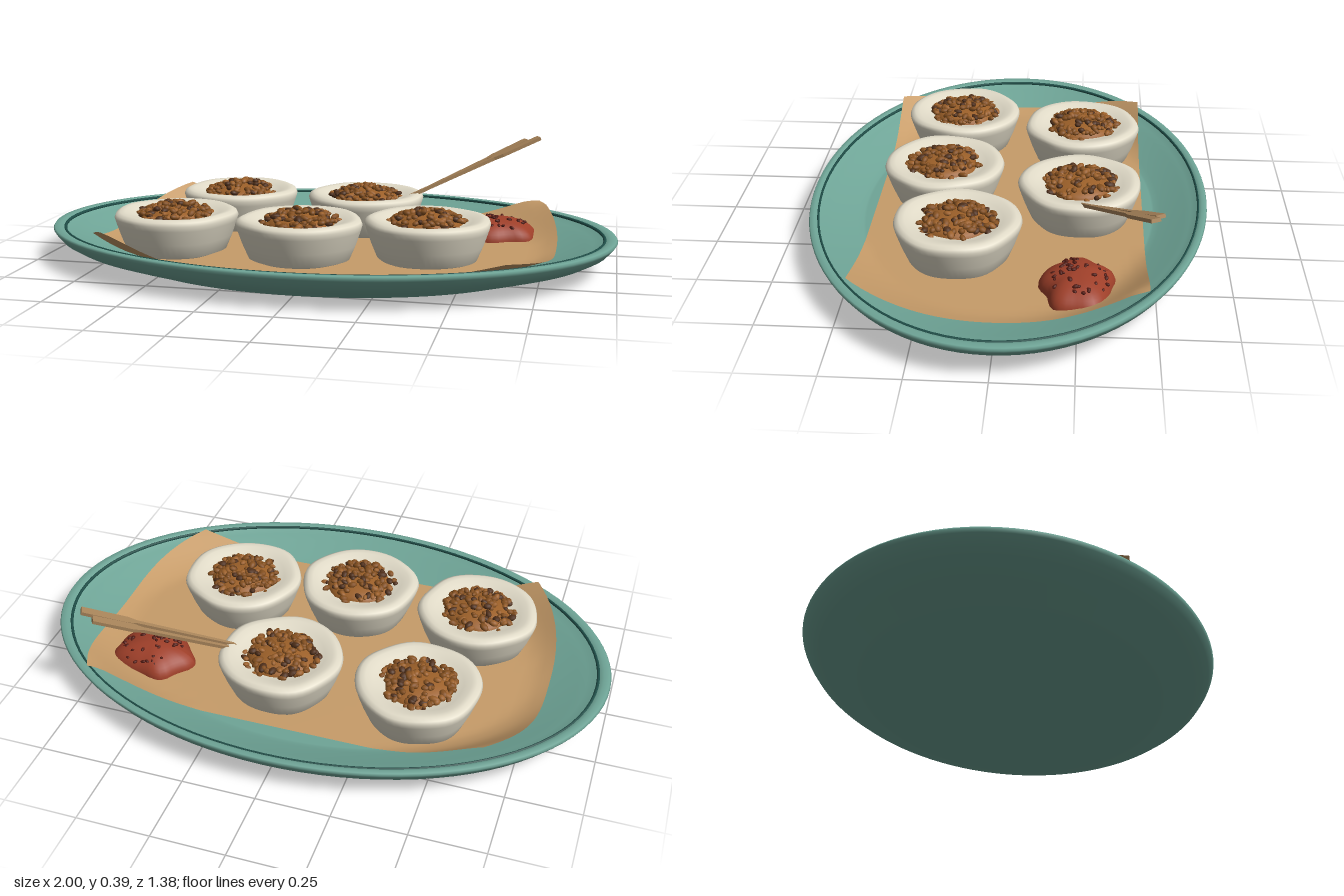
import * as THREE from 'three';
import { mergeGeometries } from 'three/addons/utils/BufferGeometryUtils.js';

const mat = (name, color, side = THREE.FrontSide) => {
  const m = new THREE.MeshStandardMaterial({ color, side });
  m.name = name;
  return m;
};
const V2 = (list) => list.map(([x, y]) => new THREE.Vector2(x, y));

// Small seeded generator for scattering
let seed = 7;
const rand = (a = 0, b = 1) => {
  seed = (seed * 16807) % 2147483647;
  return a + (b - a) * (seed / 2147483647);
};

const DEPTH = 0.692; // plate depth relative to its width
const FLOOR = 0.045;
const plateHeight = (r) => FLOOR + 0.062 * Math.pow(THREE.MathUtils.clamp((r - 0.74) / 0.21, 0, 1), 1.1);

function addMesh(parent, name, geometry, material) {
  const mesh = new THREE.Mesh(geometry, material);
  mesh.name = name;
  parent.add(mesh);
  return mesh;
}

// One small rounded crumb with random turn and stretch
function crumb(x, y, z, size, stretch) {
  const g = new THREE.IcosahedronGeometry(size, 1);
  g.scale(stretch, 0.8, rand(0.8, 1.05));
  g.rotateZ(rand(-0.5, 0.5));
  g.rotateY(rand(0, Math.PI));
  g.translate(x, y, z);
  return g;
}

// Uneven outline shared by hand-made parts
function wobble(geometry, phase, amount) {
  const p = geometry.attributes.position;
  for (let i = 0; i < p.count; i++) {
    const a = Math.atan2(p.getZ(i), p.getX(i));
    const k = 1 + amount * (Math.sin(3 * a + phase) * 0.5 + Math.sin(5 * a + phase * 2.3) * 0.6 + Math.sin(7 * a - phase) * 0.35);
    p.setX(i, p.getX(i) * k);
    p.setZ(i, p.getZ(i) * k);
  }
  return geometry;
}

// Paper sheet that follows the plate and curls up at its corners
function paperGeometry() {
  const g = new THREE.PlaneGeometry(2, 2, 48, 32).rotateX(-Math.PI / 2);
  const p = g.attributes.position;
  for (let i = 0; i < p.count; i++) {
    const z = p.getZ(i) * 0.47;
    const corner = Math.pow(Math.abs(p.getZ(i)), 3);
    const trim = p.getX(i) > 0 && z < 0 ? 0.085 : 0.13;
    const x = p.getX(i) * (0.795 - trim * corner);
    const r = Math.hypot(x, z / DEPTH);
    const curl = THREE.MathUtils.smoothstep(r, 0.78, 0.98) * (x < 0 ? 0.05 : z < 0 ? 0.03 : 0.012);
    p.setXYZ(i, x, plateHeight(r) + 0.01 + curl, z);
  }
  g.computeVertexNormals();
  return g;
}

// Flat pick: slim shaft widening into a paddle handle
function pickGeometry(tip, end) {
  const len = tip.distanceTo(end);
  const half = [[0, 0.003], [0.06, 0.006], [len * 0.66, 0.008], [len * 0.72, 0.016], [len, 0.016]];
  const outline = [...half, ...half.map(([x, y]) => [x, -y]).reverse()];
  const g = new THREE.ExtrudeGeometry(new THREE.Shape(V2(outline)), { depth: 0.012, bevelEnabled: false });
  g.translate(0, 0, -0.006);
  const along = end.clone().sub(tip).normalize();
  const across = new THREE.Vector3(0, 1, 0).cross(along).normalize();
  const normal = along.clone().cross(across);
  return g.applyMatrix4(new THREE.Matrix4().makeBasis(along, across, normal).setPosition(tip));
}

export function createModel() {
  const model = new THREE.Group();
  model.name = 'steamedCakePlatter';

  const teal = mat('teal glaze', 0x6fa597);
  const darkTeal = mat('dark teal line', 0x1f4f49);
  const paper = mat('brown paper', 0xc79c69, THREE.DoubleSide);
  const rice = mat('rice white', 0xe2dcc9);
  const browns = [
    mat('brown relish', 0x85501f),
    mat('dark relish', 0x51301a),
    mat('golden relish', 0x9c6029),
  ];
  const red = mat('chilli red', 0x9e3f29);
  const darkRed = mat('chilli flake', 0x541a12);
  const wood = mat('wood', 0xa8845a);

  // Oval plate
  const profile = [[0, 0], [0.73, 0], [0.742, 0.001], [0.755, 0.005], [0.85, 0.031], [0.93, 0.054], [0.972, 0.076],
    [0.994, 0.1], [1, 0.11], [0.995, 0.117], [0.975, 0.118], [0.96, 0.113], [0.95, 0.105]];
  for (let r = 0.92; r > 0.75; r -= 0.03) profile.push([r, plateHeight(r)]);
  profile.push([0.742, FLOOR], [0.73, FLOOR], [0, FLOOR]);
  const plate = addMesh(model, 'plate', new THREE.LatheGeometry(V2(profile), 96), teal);
  plate.scale.z = DEPTH;

  // Painted line inside the rim
  const line = addMesh(model, 'rimLine', new THREE.TorusGeometry(0.957, 0.006, 6, 96).rotateX(Math.PI / 2), darkTeal);
  line.position.y = 0.111;
  line.scale.z = DEPTH;

  addMesh(model, 'paperLiner', paperGeometry(), paper);

  // Steamed cakes with a dished top and a heap of relish
  const cakeProfile = V2([[0, 0.056], [0.155, 0.056], [0.17, 0.062], [0.19, 0.11], [0.207, 0.16], [0.212, 0.178],
    [0.207, 0.19], [0.193, 0.197], [0.175, 0.196], [0.15, 0.188], [0.12, 0.177], [0.08, 0.17], [0, 0.168]]);
  const centres = [[-0.395, -0.25], [0.085, -0.25], [-0.495, 0.205], [-0.045, 0.235], [0.375, 0.15]];
  centres.forEach(([x, z], n) => {
    const group = new THREE.Group();
    group.name = 'cake' + (n + 1);
    group.position.set(x, 0, z);
    model.add(group);
    addMesh(group, 'riceCake', wobble(new THREE.LatheGeometry(cakeProfile, 56), n * 1.7 + 0.6, 0.022), rice);

    const mound = new THREE.SphereGeometry(1, 24, 8, 0, Math.PI * 2, 0, Math.PI / 2).scale(0.118, 0.045, 0.118);
    mound.translate(0, 0.168, 0);
    addMesh(group, 'relishMound', wobble(mound, n, 0.05), browns[2]);

    const heaps = [[], [], []];
    for (let i = 0; i < 130; i++) {
      const r = 0.132 * Math.sqrt(rand()), a = rand(0, Math.PI * 2);
      const y = 0.174 + 0.043 * (1 - (r / 0.14) ** 2) + rand(-0.003, 0.005);
      const tone = rand();
      heaps[tone < 0.55 ? 0 : tone < 0.8 ? 1 : 2].push(
        crumb(r * Math.cos(a), y, r * Math.sin(a), rand(0.009, 0.0135), rand(1, 1.6)));
    }
    heaps.forEach((h, i) => addMesh(group, 'relishCrumbs' + (i + 1), mergeGeometries(h), browns[i]));
  });

  // Spoonful of chilli paste with flakes
  const chilli = new THREE.Group();
  chilli.name = 'chilliPaste';
  chilli.position.set(0.565, 0.052, -0.25);
  model.add(chilli);
  const blob = new THREE.SphereGeometry(1, 40, 12, 0, Math.PI * 2, 0, Math.PI / 2).scale(0.148, 0.075, 0.118);
  wobble(blob, 2.2, 0.09);
  blob.computeVertexNormals();
  addMesh(chilli, 'paste', blob, red);
  const flakes = [];
  for (let i = 0; i < 42; i++) {
    const r = 0.88 * Math.sqrt(rand()), a = rand(0, Math.PI * 2);
    flakes.push(crumb(0.142 * r * Math.cos(a), 0.075 * Math.sqrt(1 - r * r) + 0.002, 0.113 * r * Math.sin(a), rand(0.005, 0.008), 1.4));
  }
  addMesh(chilli, 'flakes', mergeGeometries(flakes), darkRed);

  // Two wooden picks
  const P = (x, y, z) => new THREE.Vector3(x, y, z);
  addMesh(model, 'pickA', pickGeometry(P(0.23, 0.178, -0.245), P(0.7, 0.385, -0.475)), wood);
  addMesh(model, 'pickB', pickGeometry(P(0.24, 0.178, -0.265), P(0.652, 0.372, -0.492)), wood);

  return model;
}
